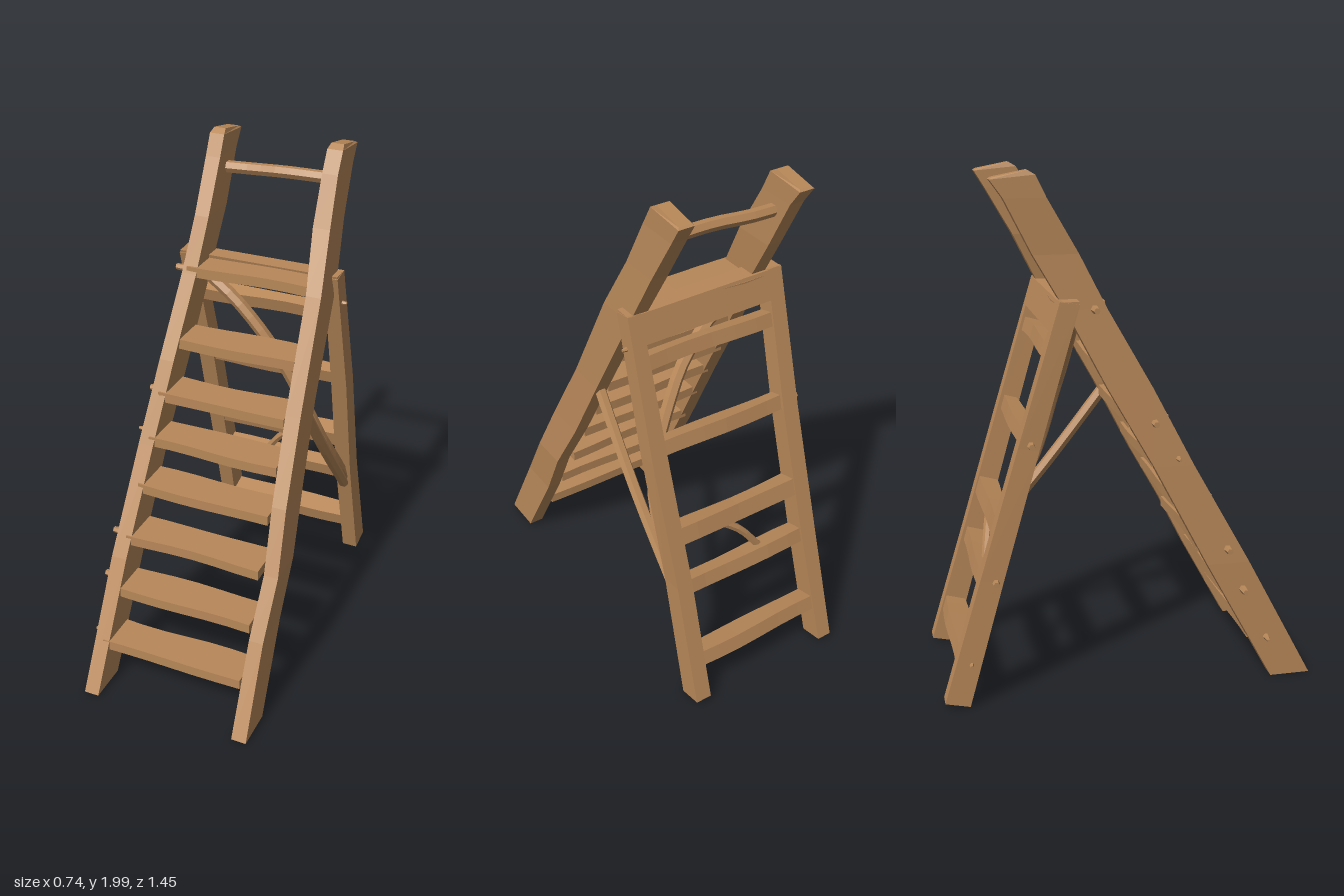
import * as THREE from 'three';

const wood = new THREE.MeshStandardMaterial({ color: 0xb88859 });
wood.name = 'wood';

function add(parent, name, geometry) {
  let g = geometry;
  if (g.index) g = g.toNonIndexed();
  g.computeVertexNormals(); // faceted, hand-hewn look
  const mesh = new THREE.Mesh(g, wood);
  mesh.name = name;
  parent.add(mesh);
  return mesh;
}

// Four-sided beam through cross-sections, bottom to top.
// Each row: [x min, x max, front z, front y, back z, back y]
function beam(rows) {
  const pos = [], idx = [];
  for (const [x0, x1, zf, yf, zb, yb] of rows) {
    pos.push(x0, yf, zf, x1, yf, zf, x1, yb, zb, x0, yb, zb);
  }
  for (let r = 0; r < rows.length - 1; r++) {
    for (let k = 0; k < 4; k++) {
      const a = r * 4 + k, b = r * 4 + (k + 1) % 4;
      idx.push(a, b, b + 4, a, b + 4, a + 4);
    }
  }
  const t = (rows.length - 1) * 4;
  idx.push(0, 2, 1, 0, 3, 2, t, t + 1, t + 2, t, t + 2, t + 3);
  const g = new THREE.BufferGeometry();
  g.setAttribute('position', new THREE.Float32BufferAttribute(pos, 3));
  g.setIndex(idx);
  return g;
}

// Slightly bowed plank spanning x0..x1
function plank(x0, x1, height, depth, seed) {
  const g = new THREE.BoxGeometry(x1 - x0, height, depth, 6, 1, 1);
  const p = g.attributes.position;
  for (let i = 0; i < p.count; i++) {
    const x = p.getX(i);
    const s = Math.sign(p.getZ(i));
    p.setY(i, p.getY(i) + 0.003 * Math.sin(x * 9 + seed));
    p.setZ(i, p.getZ(i) + s * 0.004 * Math.sin(x * 11 + seed * 2.3));
  }
  g.translate((x0 + x1) / 2, 0, 0);
  return g;
}

function pole(points, radius, segments) {
  const curve = new THREE.CatmullRomCurve3(points.map(p => new THREE.Vector3(...p)));
  return new THREE.TubeGeometry(curve, segments, radius, 6);
}

// Slopes of the two frames, as z at a given height
const railFront = y => 0.73 - 0.54 * y;
const railBack = y => 0.57 - 0.54 * y;
const legFront = y => -0.635 + 0.287 * y;
const legBack = y => -0.73 + 0.302 * y;

export function createModel() {
  const model = new THREE.Group();
  model.name = 'stepladder';

  // Long climbing rails, gently crooked: [y, x min, x max]
  const rails = {
    rightRail: [[0.01, -0.33, -0.27], [0.5, -0.325, -0.262], [0.9, -0.307, -0.245], [1.2, -0.285, -0.225],
      [1.5, -0.265, -0.205], [1.7, -0.255, -0.197], [1.9, -0.26, -0.2]],
    leftRail: [[0.01, 0.305, 0.365], [0.35, 0.298, 0.355], [0.57, 0.303, 0.36], [0.8, 0.283, 0.34],
      [1.1, 0.262, 0.322], [1.5, 0.25, 0.31], [1.72, 0.222, 0.29], [1.9, 0.218, 0.28]],
  };
  for (const [name, rows] of Object.entries(rails)) {
    const sections = rows.map(([y, a, b], i) => {
      const w = i % 2 ? 0.004 : -0.003;
      return [a, b, railFront(y) + (i ? w : 0), y, railBack(y) - (i ? w : 0), y];
    });
    const [, a, b] = rows[rows.length - 1];
    sections.push([a, b, -0.338, 1.98, -0.5, 1.965]);
    sections.push([a + 0.006, b - 0.006, -0.365, 1.996, -0.42, 1.998]);
    // close the slanted top
    sections[sections.length - 1][4] = -0.49;
    sections[sections.length - 1][5] = 1.972;
    add(model, name, beam(sections));
  }

  // Treads between the rails
  const treadTops = [0.21, 0.40, 0.585, 0.93, 0.765, 1.09, 1.28, 1.53];
  treadTops.forEach((top, i) => {
    const y = top - 0.021;
    const half = 0.3 - 0.035 * y;
    const depth = i === 7 ? 0.18 : 0.15;
    const tread = add(model, 'tread', plank(-half, half, 0.04, depth, i));
    tread.position.set(0, y, railFront(y) - 0.006 - depth / 2);
  });

  // Round grab bar at the top
  add(model, 'grabBar', pole([[-0.23, 1.845, -0.365], [-0.1, 1.85, -0.368], [0.05, 1.86, -0.36],
    [0.25, 1.862, -0.362]], 0.024, 8));

  // Rear support legs: [y, x min, x max]
  const legs = {
    rightLeg: [[0.02, -0.33, -0.27], [0.5, -0.325, -0.258], [1.0, -0.322, -0.255], [1.53, -0.33, -0.268]],
    leftLeg: [[0.02, 0.265, 0.33], [0.5, 0.26, 0.325], [1.0, 0.27, 0.335], [1.53, 0.275, 0.33]],
  };
  for (const [name, rows] of Object.entries(legs)) {
    add(model, name, beam(rows.map(([y, a, b], i) =>
      [a, b, legFront(y), y - (i ? 0 : 0.012), legBack(y), y + (i === 3 ? 0.012 : 0.01)])));
  }

  // Top board joining the legs
  add(model, 'rearTopBoard', beam([1.43, 1.54].map(y =>
    [-0.328, 0.328, legFront(y) - 0.004, y, legBack(y) - 0.004, y])));

  // Rear crosspieces: [centre y, height, depth]
  [[0.18, 0.06, 0.085], [0.48, 0.058, 0.07], [0.685, 0.07, 0.07], [1.03, 0.058, 0.06], [1.35, 0.055, 0.055]]
    .forEach(([y, h, d], i) => {
      const bar = add(model, 'rearCrosspiece', plank(-0.29, 0.29, h, d, i + 3));
      bar.position.set(0, y, (legFront(y) + legBack(y)) / 2);
      bar.rotation.x = 0.28;
    });

  // Branch-like braces
  add(model, 'curvedBrace', pole([[-0.22, 1.47, -0.2], [-0.08, 1.37, -0.19], [0.05, 1.22, -0.2],
    [0.13, 1.08, -0.225], [0.2, 0.92, -0.255], [0.25, 0.77, -0.3], [0.28, 0.6, -0.41],
    [0.29, 0.44, -0.53]], 0.025, 20));
  add(model, 'sideBrace', pole([[0.29, 1.09, 0.03], [0.295, 0.75, -0.235], [0.29, 0.42, -0.52]], 0.023, 8));
  add(model, 'shortBrace', pole([[-0.08, 0.5, -0.53], [0, 0.605, -0.51], [0.12, 0.69, -0.48]], 0.016, 6));

  // Wooden pegs poking out of the joints: [x tip, y, z, side]
  const pegs = [
    [-0.37, 0.18, 0.54, -1], [-0.37, 0.39, 0.44, -1], [-0.36, 0.56, 0.375, -1], [-0.335, 0.93, 0.18, -1],
    [-0.325, 1.07, 0.09, -1], [-0.31, 1.5, -0.13, -1],
    [-0.348, 0.18, -0.62, -1], [-0.348, 0.5, -0.52, -1], [-0.35, 1.02, -0.38, -1], [0.35, 1.41, -0.26, 1],
  ];
  pegs.forEach(([x, y, z, side], i) => {
    const g = new THREE.CylinderGeometry(i % 3 ? 0.012 : 0.006, 0.019, 0.09, 6);
    g.rotateZ(-side * Math.PI / 2);
    add(model, 'peg', g).position.set(x - side * 0.045, y, z);
  });

  return model;
}
